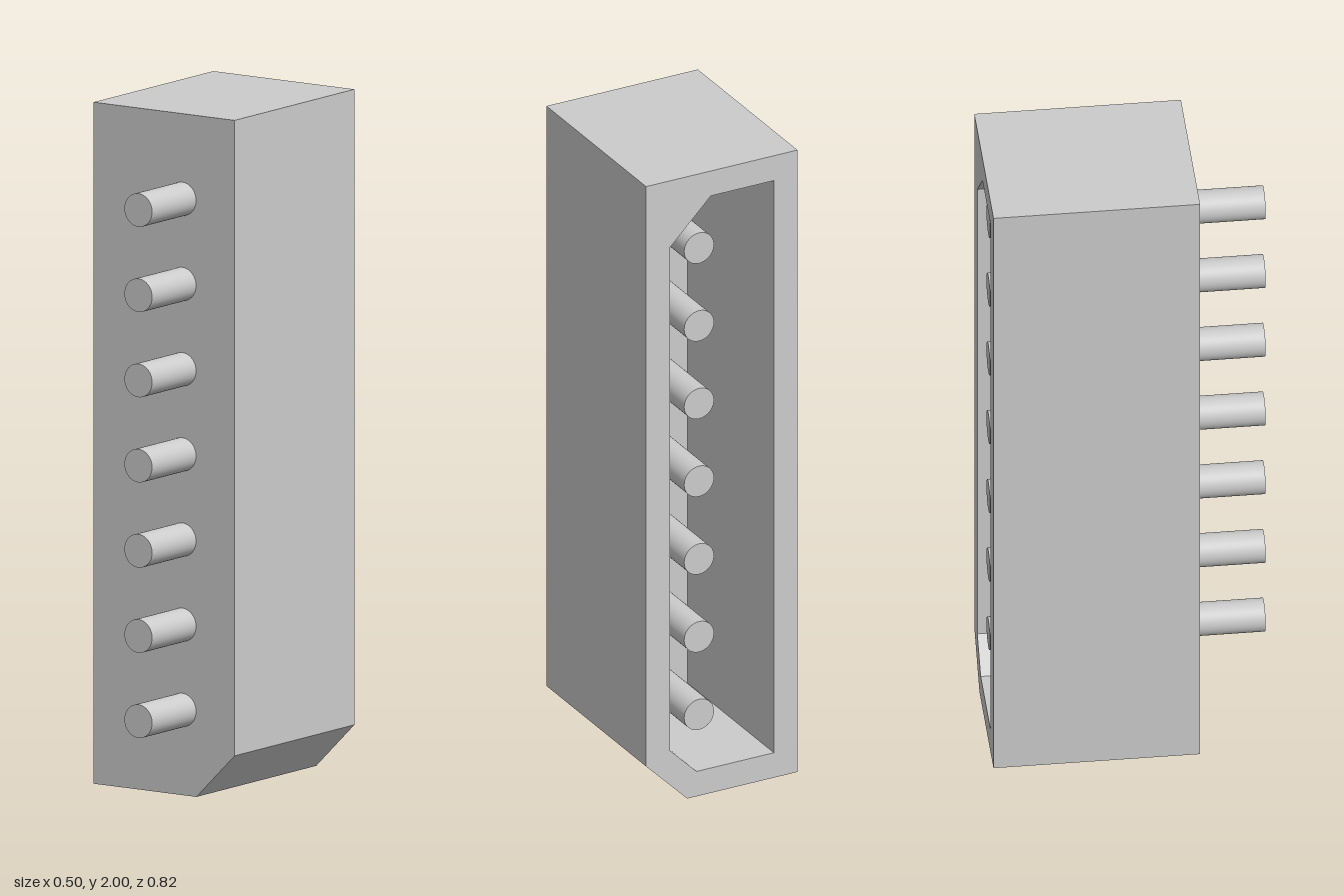
import * as THREE from 'three';

const polygon = (Type, points) => new Type(points.map(([x, y]) => new THREE.Vector2(x, y)));

export function createModel() {
  const group = new THREE.Group();
  const material = new THREE.MeshStandardMaterial({ color: 0xcccccc });

  const add = (name, geometry, x, y, z) => {
    const mesh = new THREE.Mesh(geometry, material);
    mesh.name = name;
    mesh.position.set(x, y, z);
    group.add(mesh);
    return mesh;
  };

  const back = -0.41, front = 0.19, plate = 0.08;

  // Housing outline with one bevelled lower corner
  const outline = [[-0.249, 0], [0.114, 0], [0.249, 0.135], [0.249, 2], [-0.249, 2]];
  // Cavity outline, bevelled at both corners on the same side
  const cavity = [[-0.171, 0.08], [0.083, 0.08], [0.171, 0.168], [0.171, 1.785], [0.036, 1.92], [-0.171, 1.92]];

  // Hollow shroud, open at the back
  const shroud = polygon(THREE.Shape, outline);
  shroud.holes.push(polygon(THREE.Path, cavity));
  add('shroud', new THREE.ExtrudeGeometry(shroud, { depth: front - plate - back, bevelEnabled: false }), 0, 0, back);

  // Solid front wall closing the cavity
  add('frontWall', new THREE.ExtrudeGeometry(polygon(THREE.Shape, outline), { depth: plate, bevelEnabled: false }), 0, 0, front - plate);

  // Row of pins passing through the front wall
  const pinFront = 0.41, pinBack = -0.39;
  const pin = new THREE.CylinderGeometry(0.049, 0.049, pinFront - pinBack, 40).rotateX(Math.PI / 2);
  for (let i = 0; i < 7; i++) {
    add(`pin${i + 1}`, pin, 0.064, 0.25 * (i + 1), (pinFront + pinBack) / 2);
  }

  return group;
}
